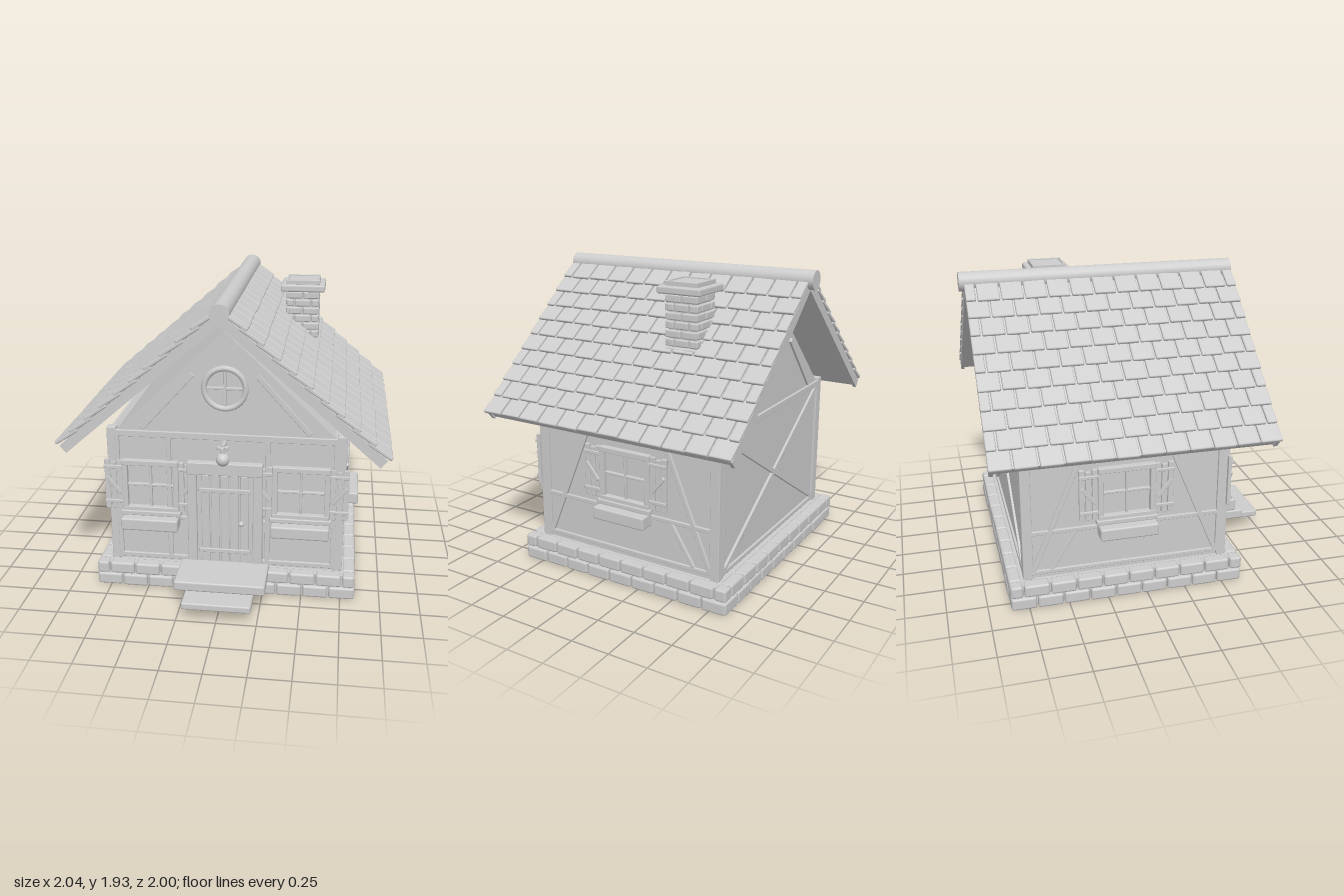
import * as THREE from 'three';
import { RoundedBoxGeometry } from 'three/addons/geometries/RoundedBoxGeometry.js';

const clay = new THREE.MeshStandardMaterial({ color: 0xcccccc });
clay.name = 'light grey';

let seed = 7;
const rand = () => (seed = (seed * 16807) % 2147483647) / 2147483647;

function add(parent, name, geometry, x = 0, y = 0, z = 0) {
  const mesh = new THREE.Mesh(geometry, clay);
  mesh.name = name;
  mesh.position.set(x, y, z);
  parent.add(mesh);
  return mesh;
}
function group(parent, name, x = 0, y = 0, z = 0, turn = 0) {
  const g = new THREE.Group();
  g.name = name;
  g.position.set(x, y, z);
  g.rotation.y = turn;
  parent.add(g);
  return g;
}
// Box given by its limits on each axis, optionally with rounded edges
function block(parent, name, x0, x1, y0, y1, z0, z1, r = 0) {
  const size = [x1 - x0, y1 - y0, z1 - z0];
  const geo = r ? new RoundedBoxGeometry(...size, 1, r) : new THREE.BoxGeometry(...size);
  return add(parent, name, geo, (x0 + x1) / 2, (y0 + y1) / 2, (z0 + z1) / 2);
}
// Timber between two points on a wall, standing out from z0 to z1
function beam(parent, name, xa, ya, xb, yb, w = 0.03, z0 = -0.01, z1 = 0.015) {
  const len = Math.hypot(xb - xa, yb - ya);
  const m = add(parent, name, new RoundedBoxGeometry(len, w, z1 - z0, 1, 0.004),
    (xa + xb) / 2, (ya + yb) / 2, (z0 + z1) / 2);
  m.rotation.z = Math.atan2(yb - ya, xb - xa);
}

// Window with cross bars, plank shutters and a flower box, centred on x
function windowSet(wall, x) {
  const g = group(wall, 'window', x);
  for (const s of [-1, 1]) {
    beam(g, 'windowFrameSide', s * 0.165, 0.52, s * 0.165, 0.87, 0.034, -0.01, 0.035);
    const shutter = group(g, 'shutter', s * 0.24);
    for (const i of [-1, 0, 1])
      block(shutter, 'shutterPlank', i * 0.041 - 0.017, i * 0.041 + 0.017, 0.525, 0.865 - (i === 0 ? 0.012 : 0), 0, 0.022, 0.003);
    beam(shutter, 'shutterBatten', -0.06, 0.58, 0.06, 0.58, 0.022, 0.02, 0.034);
    beam(shutter, 'shutterBatten', -0.06, 0.82, 0.06, 0.82, 0.022, 0.02, 0.034);
    beam(shutter, 'shutterBrace', -s * 0.045, 0.64, s * 0.045, 0.75, 0.026, 0.02, 0.034);
  }
  beam(g, 'windowFrameTop', -0.18, 0.855, 0.18, 0.855, 0.034, -0.01, 0.038);
  beam(g, 'windowFrameBottom', -0.18, 0.535, 0.18, 0.535, 0.034, -0.01, 0.038);
  beam(g, 'windowBar', 0, 0.54, 0, 0.85, 0.016, -0.005, 0.02);
  beam(g, 'windowBar', -0.16, 0.7, 0.16, 0.7, 0.016, -0.005, 0.02);
  block(g, 'windowSill', -0.195, 0.195, 0.495, 0.527, 0, 0.05, 0.006);
  block(g, 'flowerBox', -0.185, 0.185, 0.415, 0.497, 0, 0.11, 0.012);
}

// Row of bricks along a straight edge; bricks face outward in +z
function brickRow(parent, half, y0, y1, count, shift, z0, z1, gap, r) {
  const pitch = (half * 2) / count;
  for (let i = shift ? -1 : 0; i < count; i++) {
    const a = Math.max(-half, -half + pitch * (i + (shift ? 0.5 : 0)));
    const b = Math.min(half, -half + pitch * (i + (shift ? 1.5 : 1)));
    block(parent, 'brick', a + gap, b - gap, y0, y1, z0, z1 + (rand() - 0.5) * r * 0.4, r);
  }
}

function buildFoundation(model) {
  const f = group(model, 'foundation', 0, 0, -0.117);
  block(f, 'foundationCore', -0.81, 0.81, 0.004, 0.16, -0.72, 0.72);
  const sides = [[0.84, 0.748, 0], [0.748, 0.84, 1], [0.84, 0.748, 2], [0.748, 0.84, 3]];
  for (const [half, out, q] of sides) {
    const row = group(f, 'brickCourses', 0, 0, 0, q * Math.PI / 2);
    brickRow(row, half, 0.004, 0.082, q % 2 ? 9 : 10, false, out - 0.08, out, 0.004, 0.014);
    brickRow(row, half, 0.088, 0.166, q % 2 ? 9 : 10, true, out - 0.08, out, 0.004, 0.014);
  }
  block(model, 'upperStep', -0.287, 0.287, 0.128, 0.193, 0.56, 0.86, 0.012);
  block(model, 'lowerStep', -0.215, 0.215, 0.085, 0.13, 0.8, 1, 0.01);
}

function buildWalls(model) {
  // House body with its gable
  const outline = new THREE.Shape([[-0.74, 0.15], [0.74, 0.15], [0.74, 1.05], [0.685, 1.07],
    [0, 1.72], [-0.685, 1.07], [-0.74, 1.05]].map(p => new THREE.Vector2(...p)));
  add(model, 'walls', new THREE.ExtrudeGeometry(outline, { depth: 1.29, bevelEnabled: false }), 0, 0, -0.758);
  for (const s of [-1, 1])
    for (const z of [0.515, -0.742])
      block(model, 'cornerPost', s * 0.725 - 0.03, s * 0.725 + 0.03, 0.16, 1.082, z - 0.03, z + 0.03, 0.005);

  const front = group(model, 'frontWall', 0, 0, 0.532);
  const back = group(model, 'backWall', 0, 0, -0.758, Math.PI);
  for (const wall of [front, back]) {
    beam(wall, 'topBeam', -0.7, 1.047, 0.7, 1.047, 0.042);
    beam(wall, 'bottomBeam', -0.7, 0.19, 0.7, 0.19, 0.03);
    for (const s of [-1, 1]) {
      beam(wall, 'wallPost', s * 0.692, 0.19, s * 0.692, 1.04);
      beam(wall, 'gableBrace', s * 0.53, 1.085, s * 0.2, 1.45, 0.034);
    }
  }
  beam(back, 'crossBrace', -0.68, 0.2, 0.68, 1.03, 0.032);
  beam(back, 'crossBrace', -0.68, 1.03, 0.68, 0.2, 0.032);

  // Front posts, rail and windows
  beam(front, 'innerPost', -0.36, 0.19, -0.36, 1.03);
  beam(front, 'innerPost', 0.27, 0.19, 0.27, 1.03);
  for (const s of [-1, 1]) {
    beam(front, 'railBeam', s * 0.24, 0.475, s * 0.7, 0.475, 0.026);
    windowSet(front, s * 0.48);
  }

  // Side walls
  for (const s of [-1, 1]) {
    const side = group(model, 'sideWall', s * 0.74, 0, -0.117, s * Math.PI / 2);
    beam(side, 'topBeam', -0.61, 1.035, 0.61, 1.035, 0.03);
    beam(side, 'bottomBeam', -0.61, 0.2, 0.61, 0.2, 0.026);
    beam(side, 'railBeam', -0.61, 0.473, 0.61, 0.473, 0.026);
    for (const t of [-1, 1]) {
      beam(side, 'sidePost', t * 0.605, 0.19, t * 0.605, 1.03, 0.026);
      beam(side, 'diagonalBrace', t * 0.26, 1.01, t * 0.59, 0.21, 0.03);
    }
    beam(side, 'shortBrace', s * 0.32, 0.465, s * 0.48, 0.21, 0.026);
    windowSet(side, 0);
  }
  return front;
}

function buildDoor(front) {
  const d = group(front, 'door');
  for (const s of [-1, 1]) block(d, 'doorJamb', s * 0.21 - 0.03, s * 0.21 + 0.03, 0.17, 0.88, -0.01, 0.045, 0.006);
  block(d, 'doorLintel', -0.24, 0.24, 0.8, 0.882, -0.01, 0.047, 0.006);
  block(d, 'doorPanel', -0.185, 0.185, 0.17, 0.805, -0.01, 0.02);
  for (let i = -2; i <= 2; i++)
    block(d, 'doorPlank', i * 0.062 - 0.026, i * 0.062 + 0.026, 0.185, 0.797, 0.015, 0.034, 0.004);
  for (const y of [0.27, 0.695]) beam(d, 'doorBatten', -0.165, y, 0.165, y, 0.028, 0.03, 0.046);
  add(d, 'doorKnob', new THREE.SphereGeometry(0.018, 16, 12), 0.107, 0.475, 0.05);

  // Lamp hanging over the door
  const lamp = group(front, 'doorLamp');
  block(lamp, 'lampArm', -0.012, 0.012, 1.008, 1.028, 0, 0.15, 0.004);
  block(lamp, 'lampCrossbar', -0.036, 0.036, 1.008, 1.028, 0.1, 0.125, 0.004);
  add(lamp, 'lampRod', new THREE.CylinderGeometry(0.01, 0.014, 0.08, 12), 0, 1.0, 0.113);
  add(lamp, 'lampGlobe', new THREE.SphereGeometry(0.043, 24, 16), 0, 0.943, 0.113);

  // Round gable window
  const round = group(front, 'roundWindow', 0, 1.365, 0);
  add(round, 'roundFrame', new THREE.TorusGeometry(0.128, 0.018, 10, 40), 0, 0, 0.01);
  beam(round, 'roundWindowBar', -0.12, 0, 0.12, 0, 0.018);
  beam(round, 'roundWindowBar', 0, -0.12, 0, 0.12, 0.018);
}

function buildRoof(model) {
  const roof = group(model, 'roof', 0, 1.89, -0.1);
  const slope = Math.atan(0.87), rows = 10, step = 0.1255, pitch = 0.146, end = 0.875;
  for (const s of [1, -1]) {
    const turned = group(roof, 'roofHalf', 0, 0, 0, s > 0 ? 0 : Math.PI);
    const plane = group(turned, 'roofPlane');
    plane.rotation.z = -slope;
    block(plane, 'roofBoard', 0, 1.3, -0.05, -0.004, -0.845, 0.845);
    for (const t of [-1, 1])
      block(plane, 'bargeBoard', 0, 1.31, -0.06, 0, t * 0.852 - 0.012, t * 0.852 + 0.012);
    // Overlapping shingles, alternate rows shifted by half a shingle
    for (let r = 0; r < rows; r++) {
      const low = 1.325 - r * step;
      for (let i = -1; i < 12; i++) {
        const z0 = Math.max(-end, -end + pitch * (i + (r % 2 ? 0.5 : 0)));
        const z1 = Math.min(end, -end + pitch * (i + (r % 2 ? 1.5 : 1)));
        if (z1 - z0 < 0.03) continue;
        const tile = add(plane, 'shingle', new RoundedBoxGeometry(0.17, 0.024, z1 - z0 - 0.01, 1, 0.008),
          low - 0.085 - rand() * 0.006, 0.017, (z0 + z1) / 2);
        tile.rotation.z = 0.11 + rand() * 0.03;
        tile.rotation.x = (rand() - 0.5) * 0.05;
      }
    }
  }
  const ridge = add(model, 'ridgeRoll', new THREE.CylinderGeometry(0.06, 0.06, 1.77, 24), 0, 1.874, -0.115);
  ridge.rotation.x = Math.PI / 2;
}

function buildChimney(model) {
  const c = group(model, 'chimney', 0.42, 0, -0.376);
  block(c, 'chimneyCore', -0.093, 0.093, 1.2, 1.82, -0.093, 0.093);
  for (let k = 0; k < 11; k++) {
    const y = 1.759 - k * 0.053;
    for (let q = 0; q < 4; q++) {
      const row = group(c, 'chimneyCourse', 0, 0, 0, q * Math.PI / 2);
      brickRow(row, (k + q) % 2 ? 0.112 : 0.098, y, y + 0.046, 2, k % 2 === 1, 0.06, 0.112, 0.004, 0.009);
    }
  }
  block(c, 'chimneySlab', -0.148, 0.148, 1.81, 1.857, -0.148, 0.148, 0.012);
  block(c, 'chimneyCap', -0.112, 0.112, 1.85, 1.876, -0.108, 0.108, 0.008);
  // Raised rim round the cap
  for (let q = 0; q < 4; q++) {
    const rim = group(c, 'capRim', 0, 0, 0, q * Math.PI / 2);
    block(rim, 'capRimSide', -0.112, 0.112, 1.855, 1.885, 0.098, 0.112, 0.004);
  }
}

export function createModel() {
  const model = new THREE.Group();
  model.name = 'cottage';
  buildFoundation(model);
  buildDoor(buildWalls(model));
  buildRoof(model);
  buildChimney(model);
  return model;
}
